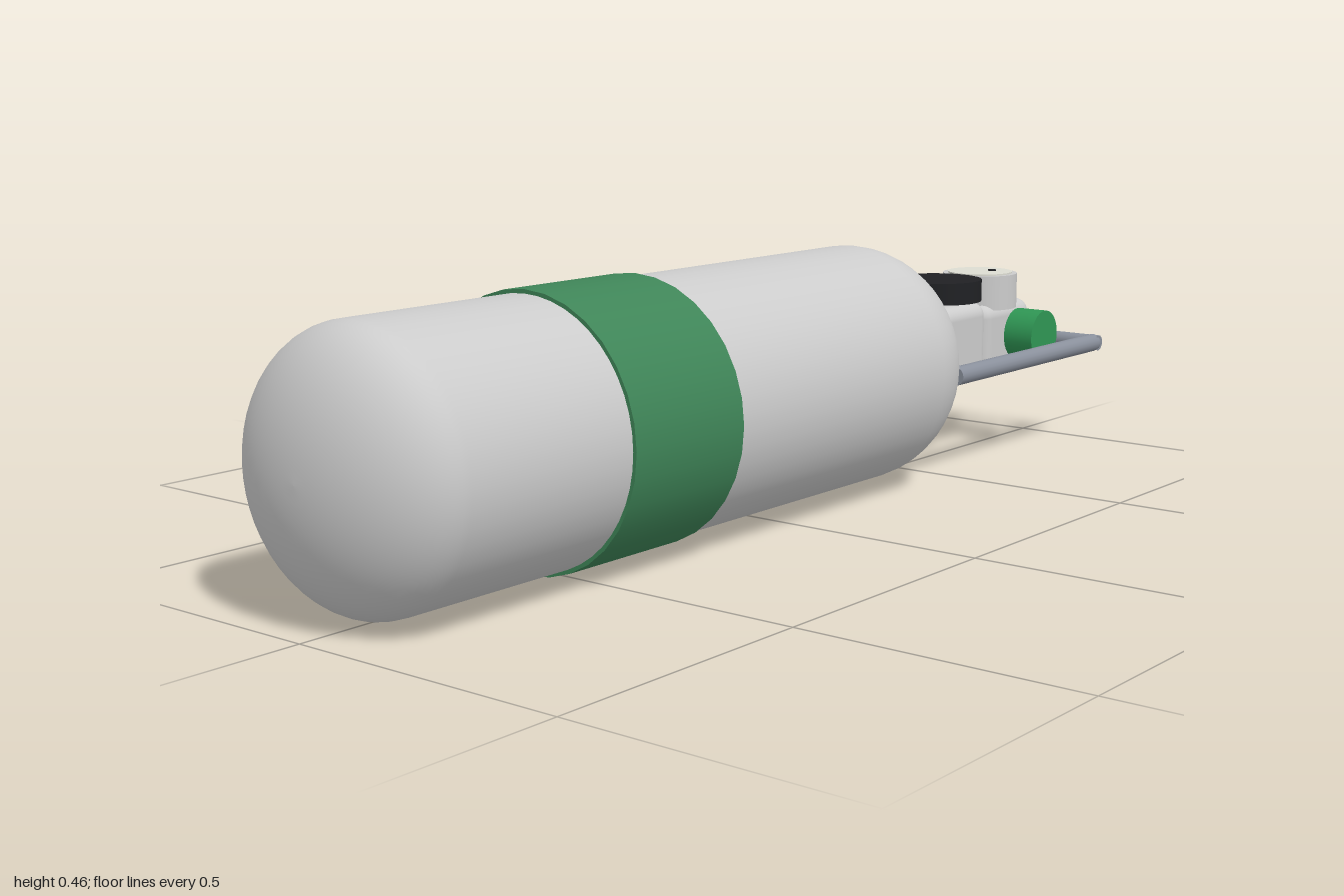
import * as THREE from 'three';
import { RoundedBoxGeometry } from 'three/addons/geometries/RoundedBoxGeometry.js';

const AXIS_Y = 0.233; // height of the tank centreline

const mat = (color) => new THREE.MeshStandardMaterial({ color });

export function createModel() {
  const model = new THREE.Group();
  model.name = 'gasCylinder';

  const grey = mat(0xcccccc);
  const green = mat(0x3f8558);
  const knobGreen = mat(0x2f9654);
  const black = mat(0x202124);
  const steel = mat(0x8a909c);
  const cream = mat(0xdcdcd2);

  const add = (name, geometry, material, x, y, z) => {
    const mesh = new THREE.Mesh(geometry, material);
    mesh.name = name;
    mesh.position.set(x, y, z);
    model.add(mesh);
    return mesh;
  };
  const cylinder = (name, r, length, material, x, y, z, axis = 'y', sides = 32) => {
    const geometry = new THREE.CylinderGeometry(r, r, length, sides);
    if (axis === 'z') geometry.rotateX(Math.PI / 2);
    if (axis === 'x') geometry.rotateZ(-Math.PI / 2);
    return add(name, geometry, material, x, y, z);
  };

  // Tank: straight wall, deep shoulder at the back, shallow dome at the front
  const R = 0.223, steps = 14, profile = [];
  const elliptic = (a, start, depth) =>
    new THREE.Vector2(R * Math.cos(a), start + depth * Math.sin(a));
  for (let i = 0; i <= steps; i++)
    profile.push(elliptic((1 - i / steps) * Math.PI / 2, -0.335, -0.19));
  for (let i = 0; i <= steps; i++)
    profile.push(elliptic((i / steps) * Math.PI / 2, 0.87, 0.13));
  profile[0].x = profile[profile.length - 1].x = 0;
  const tank = new THREE.LatheGeometry(profile, 48).rotateX(Math.PI / 2);
  add('tank', tank, grey, 0, AXIS_Y, 0);
  cylinder('colourBand', 0.23, 0.262, green, 0, AXIS_Y, 0.402, 'z');

  // Valve: neck, two rounded blocks, hand wheel and outlet
  cylinder('neck', 0.068, 0.12, grey, 0, 0.235, -0.54, 'z');
  add('valveBody', new RoundedBoxGeometry(0.145, 0.155, 0.16, 4, 0.028), grey, 0, 0.237, -0.65);
  cylinder('handWheelStem', 0.03, 0.06, grey, 0, 0.305, -0.65);
  cylinder('handWheel', 0.088, 0.043, black, 0, 0.342, -0.65);
  add('regulatorBody', new RoundedBoxGeometry(0.132, 0.135, 0.185, 4, 0.028), grey, 0, 0.236, -0.82);
  cylinder('outlet', 0.017, 0.1, grey, 0, 0.237, -0.948, 'z', 20);

  // Pressure gauge on top of the regulator
  cylinder('gaugeCase', 0.076, 0.07, grey, 0, 0.326, -0.81);
  cylinder('gaugeDial', 0.066, 0.004, cream, 0, 0.362, -0.81);
  cylinder('gaugeMark', 0.008, 0.004, black, 0.02, 0.365, -0.825, 'y', 12);

  // Flow knob on the model's left
  cylinder('flowKnob', 0.052, 0.064, knobGreen, 0.1, 0.236, -0.85, 'x');
  cylinder('flowKnobStem', 0.025, 0.04, grey, 0.06, 0.236, -0.85, 'x', 16);

  // Guard frame: two side rails and a crossbar
  for (const side of [-1, 1]) {
    cylinder('guardRail', 0.018, 0.53, steel, side * 0.172, 0.21, -0.715, 'z', 16);
    add('guardCorner', new THREE.SphereGeometry(0.018, 16, 10), steel, side * 0.172, 0.21, -0.98);
  }
  cylinder('guardCrossbar', 0.016, 0.37, steel, 0, 0.21, -0.984, 'x', 16);

  return model;
}
